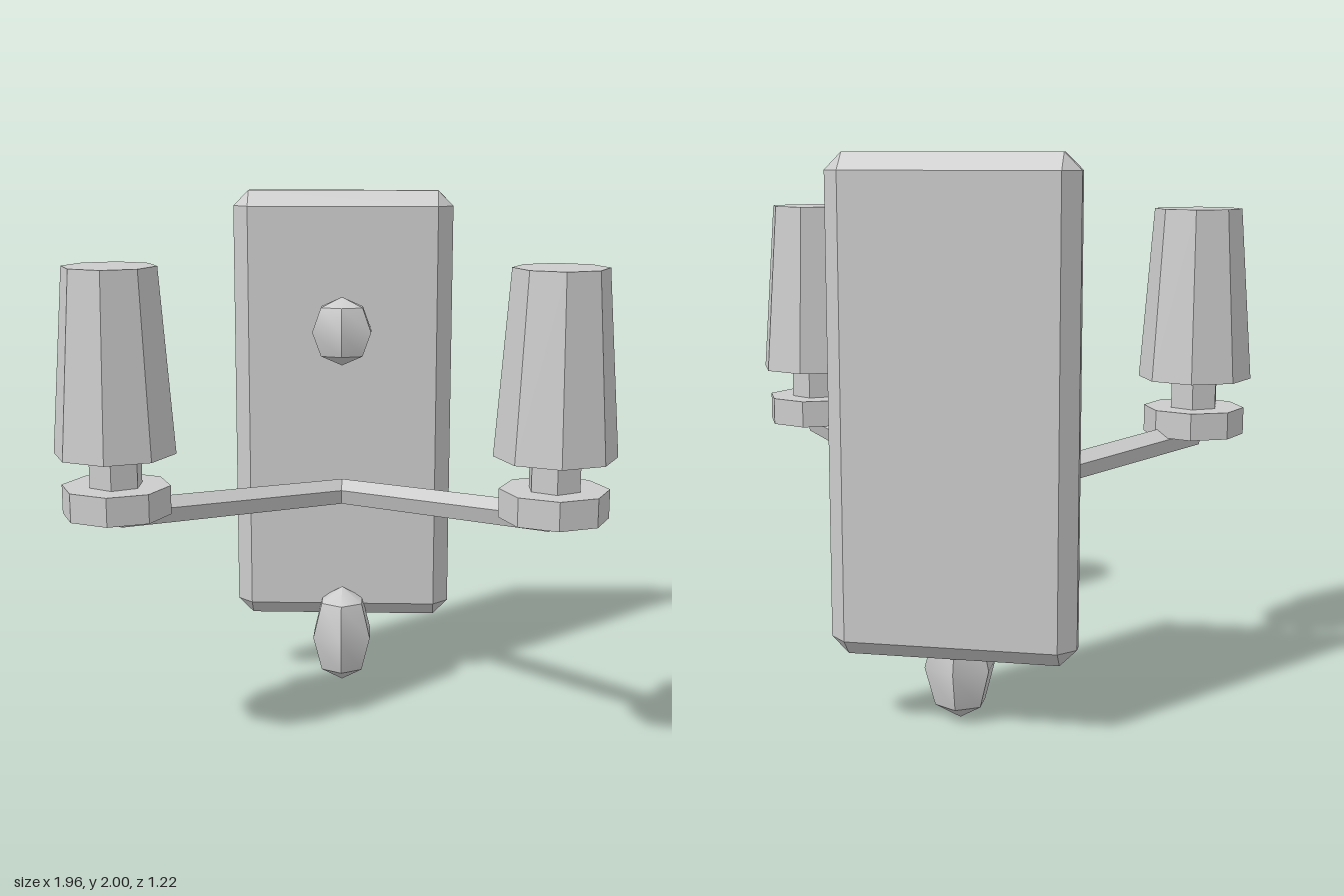
import * as THREE from 'three';
import { toCreasedNormals } from 'three/addons/utils/BufferGeometryUtils.js';
import { ConvexGeometry } from 'three/addons/geometries/ConvexGeometry.js';

const CREASE = 0.6;

// Box with every edge and corner cut by the same chamfer.
function chamferedBox(hx, hy, hz, c) {
  const points = [];
  for (const x of [-1, 1]) for (const y of [-1, 1]) for (const z of [-1, 1]) {
    points.push(
      new THREE.Vector3(x * hx, y * (hy - c), z * (hz - c)),
      new THREE.Vector3(x * (hx - c), y * hy, z * (hz - c)),
      new THREE.Vector3(x * (hx - c), y * (hy - c), z * hz));
  }
  return new ConvexGeometry(points);
}

// Six-sided bead with a corner facing forward.
function bead(rx, ry, rz) {
  const geometry = new THREE.SphereGeometry(1, 6, 4).rotateY(Math.PI / 2).scale(rx, ry, rz);
  return toCreasedNormals(geometry, CREASE);
}

// Cylinder standing between two heights.
function drum(rTop, rBottom, y0, y1, sides) {
  return new THREE.CylinderGeometry(rTop, rBottom, y1 - y0, sides).translate(0, (y0 + y1) / 2, 0);
}

export function createModel() {
  const model = new THREE.Group();
  model.name = 'wallLamp';
  const grey = new THREE.MeshStandardMaterial({ color: 0xcccccc });
  grey.name = 'plain grey';

  const add = (parent, name, geometry, x = 0, y = 0, z = 0) => {
    const mesh = new THREE.Mesh(toCreasedNormals(geometry, CREASE), grey);
    mesh.name = name;
    mesh.position.set(x, y, z);
    parent.add(mesh);
    return mesh;
  };

  // Wall plate and its two beads
  add(model, 'wallPlate', chamferedBox(0.433, 0.868, 0.08, 0.06), 0, 1.132, -0.53);
  add(model, 'upperKnob', bead(0.133, 0.135, 0.08), 0, 1.46, -0.39);
  add(model, 'lowerFinial', bead(0.133, 0.2, 0.135), 0, 0.205, -0.42);

  // Arm, cup, candle neck and shade on each side
  for (const [side, label] of [[1, 'left'], [-1, 'right']]) {
    const start = new THREE.Vector3(0, 0.808, -0.41);
    const end = new THREE.Vector3(side * 0.763, 0.917, 0.397);
    const mid = start.clone().add(end).multiplyScalar(0.5);
    const rod = new THREE.CylinderGeometry(0.052, 0.052, start.distanceTo(end), 5).rotateX(-Math.PI / 2);
    add(model, label + 'Arm', rod, mid.x, mid.y, mid.z).lookAt(end);

    const lamp = new THREE.Group();
    lamp.name = label + 'Lamp';
    lamp.position.set(end.x, 0, end.z);
    add(lamp, 'cup', drum(0.192, 0.192, 0.92, 1.023, 8));
    add(lamp, 'neck', drum(0.097, 0.097, 1.023, 1.137, 6));
    add(lamp, 'shade', drum(0.165, 0.215, 1.137, 1.786, 8));
    model.add(lamp);
  }
  return model;
}
